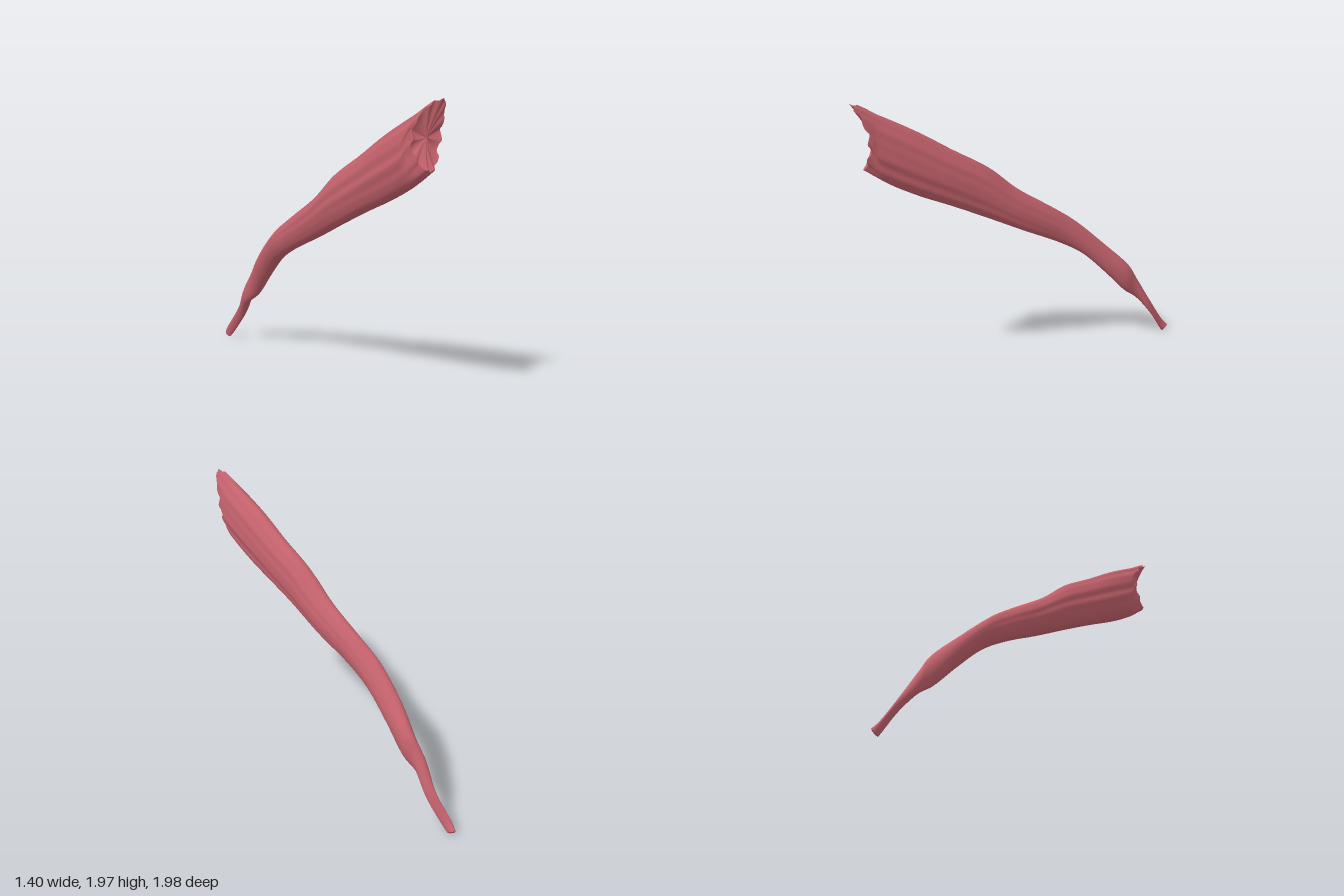
import * as THREE from 'three';

// Cross-section stations from thin tendon to broad end:
// upper edge x,y,z | lower edge x,y,z | half width
const STATIONS = [
  [-0.71, 0.04, -0.995, -0.69, 0.0, -0.955, 0.022],
  [-0.69, 0.09, -0.955, -0.67, 0.03, -0.94, 0.026],
  [-0.575, 0.30, -0.85, -0.58, 0.2, -0.855, 0.035],
  [-0.51, 0.5, -0.745, -0.54, 0.33, -0.75, 0.045],
  [-0.46, 0.61, -0.69, -0.47, 0.41, -0.665, 0.057],
  [-0.39, 0.79, -0.51, -0.39, 0.58, -0.52, 0.068],
  [-0.27, 1.0, -0.3, -0.3, 0.75, -0.36, 0.075],
  [-0.15, 1.13, -0.15, -0.2, 0.86, -0.2, 0.08],
  [0.01, 1.3, 0.07, -0.03, 0.99, 0.02, 0.09],
  [0.13, 1.47, 0.24, 0.12, 1.12, 0.25, 0.1],
  [0.28, 1.62, 0.45, 0.27, 1.24, 0.46, 0.105],
  [0.4, 1.75, 0.63, 0.39, 1.33, 0.63, 0.108],
  [0.52, 1.86, 0.8, 0.5, 1.43, 0.79, 0.105],
  [0.65, 1.965, 0.975, 0.6, 1.545, 0.935, 0.085],
];
const SIDES = 72;
const STEPS = 78;

const curve = (pick) => new THREE.CatmullRomCurve3(STATIONS.map(pick));
const upper = curve((s) => new THREE.Vector3(s[0], s[1], s[2]));
const lower = curve((s) => new THREE.Vector3(s[3], s[4], s[5]));
const width = curve((s) => new THREE.Vector3(s[6], 0, 0));

// One lens-shaped ring with fibre grooves that deepen towards the broad end
function ring(t) {
  const top = upper.getPoint(t), bottom = lower.getPoint(t), half = width.getPoint(t).x;
  const grooves = 0.07 * THREE.MathUtils.smoothstep(t, 0.3, 1);
  const end = THREE.MathUtils.smoothstep(t, 0.93, 1);
  return Array.from({ length: SIDES }, (_, j) => {
    const a = (j / SIDES) * Math.PI * 2;
    const c = Math.cos(a), s = Math.sin(a);
    const p = bottom.clone().lerp(top, (1 + s) / 2);
    const wave = Math.sin(9 * a + 2 * t) * 0.6 + Math.sin(14 * a - 3 * t) * 0.5;
    p.x += half * c * (1 + grooves * wave);
    // ragged rim, notched back along both sides
    const pull = end * (0.085 * Math.pow(c * c, 0.8) + 0.009 * Math.sin(11 * a));
    p.z -= pull;
    p.x -= pull * 0.55;
    p.y += end * 0.006 * Math.sin(17 * a);
    return p;
  });
}

function middle(points) {
  const m = new THREE.Vector3();
  points.forEach((p) => m.add(p));
  return m.divideScalar(points.length);
}

// Skin a series of rings
function loft(rings) {
  const positions = [], index = [];
  rings.forEach((r) => r.forEach((p) => positions.push(p.x, p.y, p.z)));
  for (let i = 0; i < rings.length - 1; i++) {
    for (let j = 0; j < SIDES; j++) {
      const k = (j + 1) % SIDES;
      const a = i * SIDES + j, b = i * SIDES + k;
      index.push(a, b, a + SIDES, b, b + SIDES, a + SIDES);
    }
  }
  const g = new THREE.BufferGeometry();
  g.setAttribute('position', new THREE.Float32BufferAttribute(positions, 3));
  g.setIndex(index);
  g.computeVertexNormals();
  return g;
}

// Shrink a ring to its centre, sinking it along the strap
function shrink(points, scale, depth) {
  const m = middle(points);
  const sink = new THREE.Vector3(-0.5, -0.35, -0.75).multiplyScalar(depth);
  return points.map((p) => m.clone().lerp(p, scale).add(sink));
}

export function createModel() {
  const group = new THREE.Group();
  group.name = 'muscleStrap';
  const flesh = new THREE.MeshStandardMaterial({ color: 0xc4626c });
  flesh.name = 'flesh';
  const add = (name, rings) => {
    const mesh = new THREE.Mesh(loft(rings), flesh);
    mesh.name = name;
    group.add(mesh);
  };

  const rings = Array.from({ length: STEPS + 1 }, (_, i) => ring(i / STEPS));
  const first = rings[0], last = rings[STEPS];

  add('muscleBody', rings);
  add('tendonTip', [shrink(first, 0, 0.006), shrink(first, 0.6, 0.005), first]);
  // hollow attachment surface at the broad end
  add('hollowEnd', [last, shrink(last, 0.85, 0.015), shrink(last, 0.6, 0.03),
    shrink(last, 0.3, 0.04), shrink(last, 0, 0.042)]);
  return group;
}
